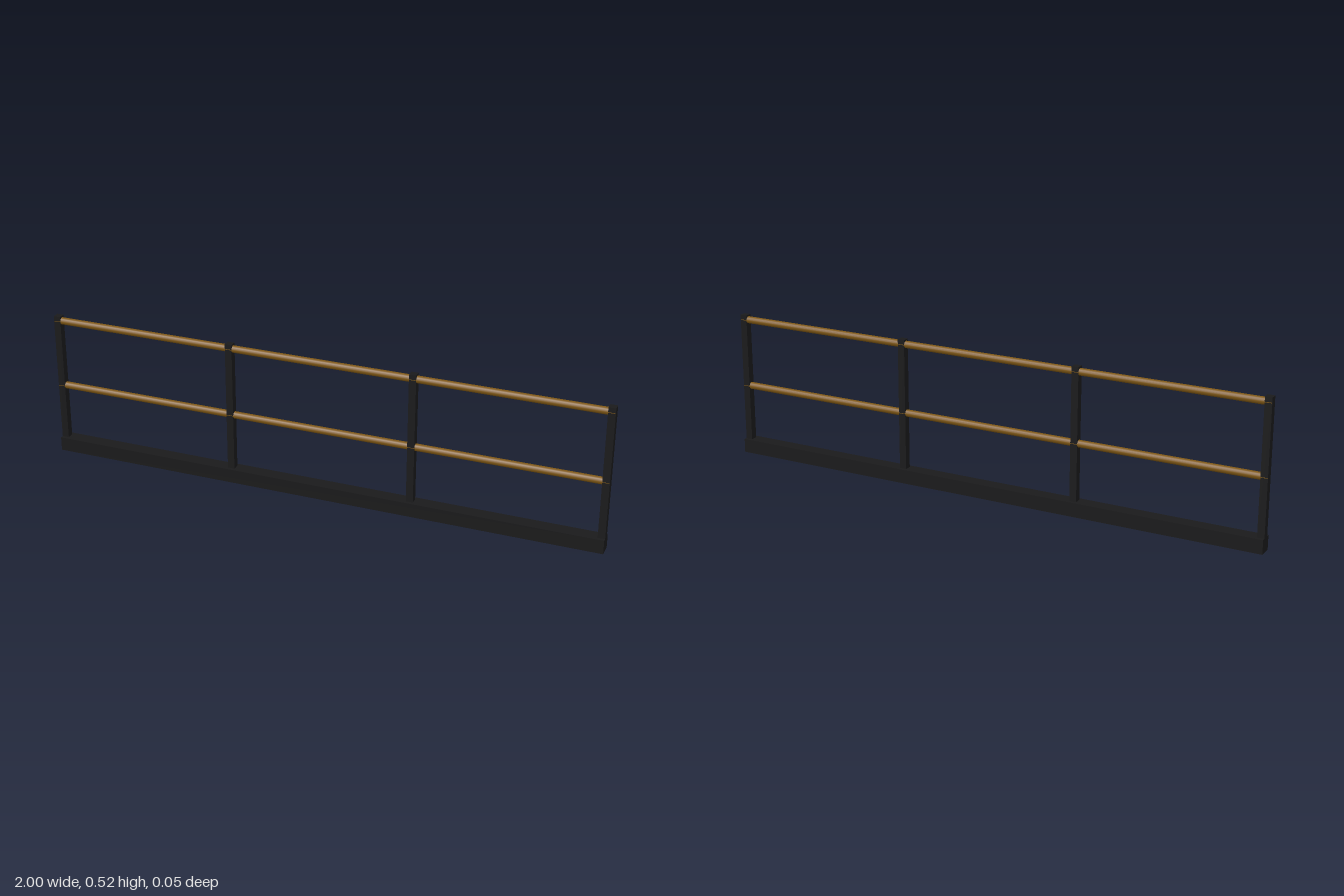
import * as THREE from 'three';

export function createModel() {
  const group = new THREE.Group();
  group.name = 'railing';
  const black = new THREE.MeshStandardMaterial({ color: 0x1a1a1b });
  const bronze = new THREE.MeshStandardMaterial({ color: 0x7d5614 });

  const add = (name, geometry, material, x, y) => {
    const mesh = new THREE.Mesh(geometry, material);
    mesh.name = name;
    mesh.position.set(x, y, 0);
    group.add(mesh);
  };

  const length = 2, base = 0.05, post = 0.025, height = 0.52;

  // Kerb along the floor
  add('baseBeam', new THREE.BoxGeometry(length, base, base), black, 0, base / 2);

  // Four evenly spaced square posts, the outer ones flush with the kerb ends
  const postGeometry = new THREE.BoxGeometry(post, height - base, post);
  const span = length - post;
  for (let i = 0; i < 4; i++) {
    add(`post${i + 1}`, postGeometry, black, -span / 2 + (span * i) / 3, (height + base) / 2);
  }

  // Round rails, just proud of the post faces and ending inside the outer posts
  const railGeometry = new THREE.CylinderGeometry(0.0127, 0.0127, length - 0.002, 16).rotateZ(Math.PI / 2);
  add('middleRail', railGeometry, bronze, 0, 0.254);
  add('topRail', railGeometry, bronze, 0, 0.502);

  return group;
}
